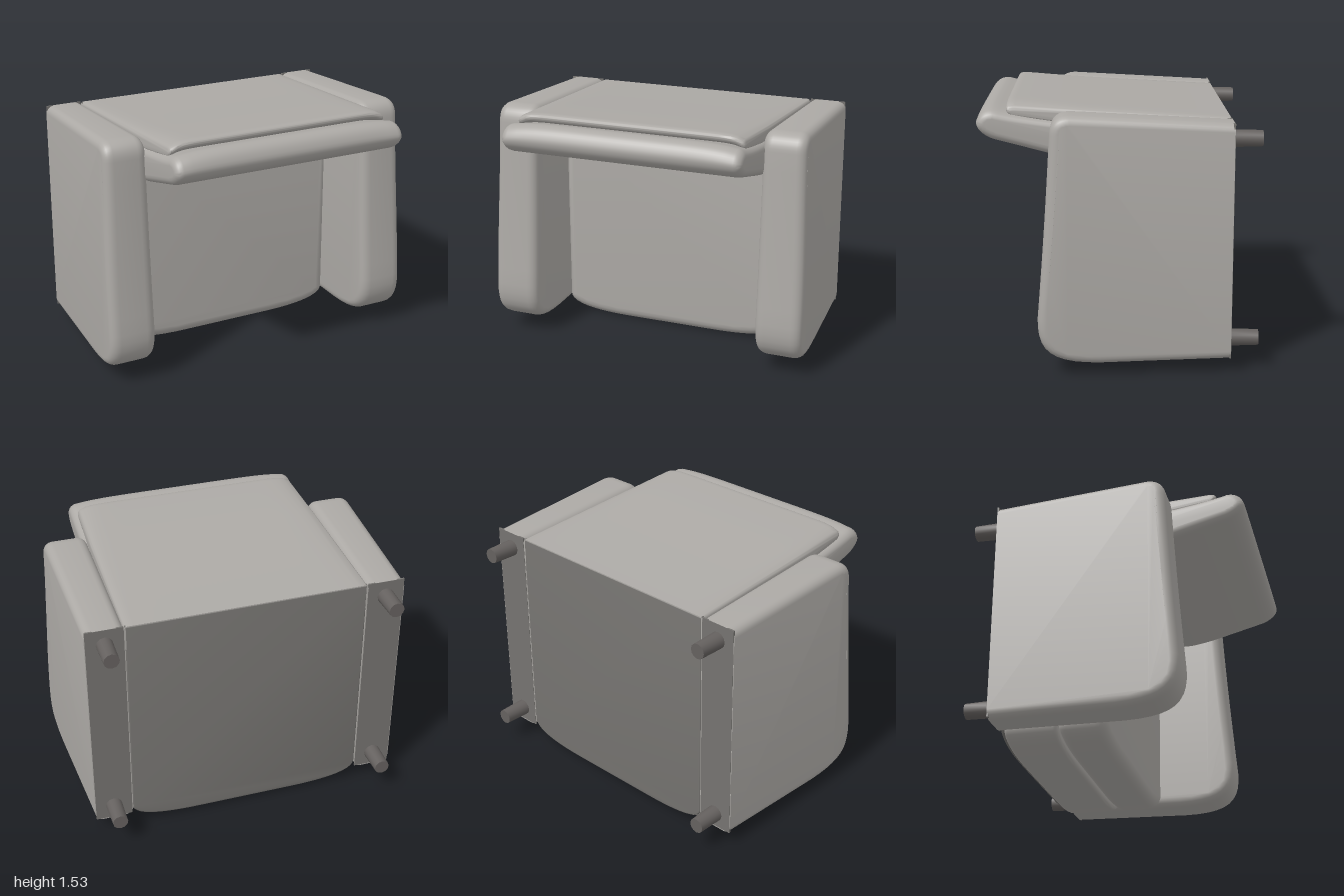
import * as THREE from 'three';
import { toCreasedNormals } from 'three/addons/utils/BufferGeometryUtils.js';

const FLOOR = -0.64; // plane of the underside, which carries the legs
const { smoothstep } = THREE.MathUtils;
const fabric = new THREE.MeshStandardMaterial({ color: 0xaca9a5 });
const lining = new THREE.MeshStandardMaterial({ color: 0x757370 });
const darkWood = new THREE.MeshStandardMaterial({ color: 0x65615f });

// Extrude with a soft bevel that stays inside the drawn outline
function padded(shape, depth, bevel, steps = 1) {
  return new THREE.ExtrudeGeometry(shape, {
    depth: depth - 2 * bevel, steps, curveSegments: 10, bevelEnabled: true,
    bevelSize: bevel, bevelThickness: bevel, bevelOffset: -bevel, bevelSegments: 5,
  }).translate(0, 0, bevel);
}

// Side profile drawn in (z, y), extruded across x from x0 to x1
function sidePanel(shape, x0, x1, bevel, steps) {
  return padded(shape, x1 - x0, bevel, steps).rotateY(-Math.PI / 2).translate(x1, 0, 0);
}

// Move every vertex by a rule
function reshape(geometry, rule) {
  const p = geometry.attributes.position;
  const v = new THREE.Vector3();
  for (let i = 0; i < p.count; i++) {
    rule(v.fromBufferAttribute(p, i));
    p.setXYZ(i, v.x, v.y, v.z);
  }
  return geometry;
}

function addPart(group, name, geometry, material = fabric) {
  const mesh = new THREE.Mesh(toCreasedNormals(geometry, 0.7), material);
  mesh.name = name;
  group.add(mesh);
}

function armProfile() {
  const s = new THREE.Shape();
  s.moveTo(-0.8, 0.082);
  s.lineTo(0.1, 0.068);
  s.bezierCurveTo(0.38, 0.07, 0.465, 0.14, 0.455, 0.34);
  s.quadraticCurveTo(0.41, 0.85, 0.38, 1.38);
  s.quadraticCurveTo(0.375, 1.485, 0.27, 1.487);
  s.lineTo(-0.8, 1.44);
  return s;
}

function backProfile() {
  const s = new THREE.Shape();
  s.moveTo(-0.8, 1.28);
  s.lineTo(-0.2, 1.34);
  s.lineTo(0.35, 1.43);
  s.lineTo(0.58, 1.47);
  s.quadraticCurveTo(0.63, 1.48, 0.63, 1.51);
  s.quadraticCurveTo(0.63, 1.532, 0.58, 1.53);
  s.lineTo(0.2, 1.495);
  s.lineTo(-0.8, 1.437);
  return s;
}

function backCushionProfile() {
  const s = new THREE.Shape();
  s.moveTo(-0.12, 1.2);
  s.lineTo(0.2, 1.2);
  s.quadraticCurveTo(0.3, 1.21, 0.42, 1.242);
  s.lineTo(0.7, 1.315);
  s.quadraticCurveTo(0.8, 1.35, 0.8, 1.42);
  s.quadraticCurveTo(0.78, 1.505, 0.7, 1.5);
  s.quadraticCurveTo(0.55, 1.46, 0.35, 1.43);
  s.lineTo(-0.12, 1.4);
  return s;
}

// Seat outline in (x, y) with a bowed front edge
function seatOutline(halfWidth, front, back) {
  const s = new THREE.Shape();
  s.moveTo(-halfWidth, back);
  s.lineTo(-halfWidth, front + 0.11);
  s.bezierCurveTo(-halfWidth, front + 0.03, -0.55, front, -0.3, front);
  s.lineTo(0.3, front);
  s.bezierCurveTo(0.55, front, halfWidth, front + 0.03, halfWidth, front + 0.11);
  s.lineTo(halfWidth, back);
  return s;
}

export function createModel() {
  const chair = new THREE.Group();
  chair.name = 'armchair';

  for (const side of [-1, 1]) {
    const name = side > 0 ? 'left' : 'right';

    // Arm: its outer side flares away from the legs
    const [x0, x1] = side > 0 ? [0.718, 0.95] : [-0.95, -0.718];
    const arm = reshape(sidePanel(armProfile(), x0, x1, 0.05), (v) => {
      v.z = Math.max(v.z, FLOOR);
      const flare = 0.053 * (v.z - FLOOR) / 1.04 * (1 - 0.45 * smoothstep(v.y, 0.4, 1.5));
      v.x += side * flare * (Math.abs(v.x) - 0.718) / 0.232;
    });
    addPart(chair, `${name}Arm`, arm);
    const plate = new THREE.BoxGeometry(0.222, 1.35, 0.01);
    addPart(chair, `${name}ArmLining`, plate.translate(side * 0.835, 0.765, -0.637), lining);

    // Legs
    for (const y of [0.18, 1.343]) {
      const leg = new THREE.CylinderGeometry(0.051, 0.046, 0.2, 12).rotateX(Math.PI / 2);
      addPart(chair, `${name}Leg`, leg.translate(side * 0.835, y, -0.705), darkWood);
    }
  }

  // Seat frame, its dark underside and the cushion
  addPart(chair, 'seatBase', padded(seatOutline(0.718, 0.005, 1.41), 0.315, 0.025).translate(0, 0, -0.624));
  addPart(chair, 'seatLining', padded(seatOutline(0.718, 0.025, 1.436), 0.03, 0.012).translate(0, 0, -0.642), lining);
  addPart(chair, 'seatCushion', padded(seatOutline(0.722, 0.002, 1.38), 0.29, 0.065).translate(0, 0, -0.31));

  // Back board: its end narrows and droops at the corners
  const back = reshape(sidePanel(backProfile(), -0.722, 0.722, 0.02, 40), (v) => {
    v.z = Math.max(v.z, FLOOR);
    const t = smoothstep(v.z, -0.2, 0.6);
    v.y -= 0.035 * t * Math.pow(Math.abs(v.x) / 0.722, 16);
    v.x *= 1 - 0.03 * t;
  });
  addPart(chair, 'backBoard', back);

  // Back cushion: plumper in the middle
  const cushion = reshape(sidePanel(backCushionProfile(), -0.732, 0.732, 0.045, 24), (v) => {
    v.y -= 0.025 * smoothstep(v.y, 1.35, 1.5) * Math.pow(Math.abs(v.x) / 0.732, 6);
  });
  addPart(chair, 'backCushion', cushion);
  return chair;
}
